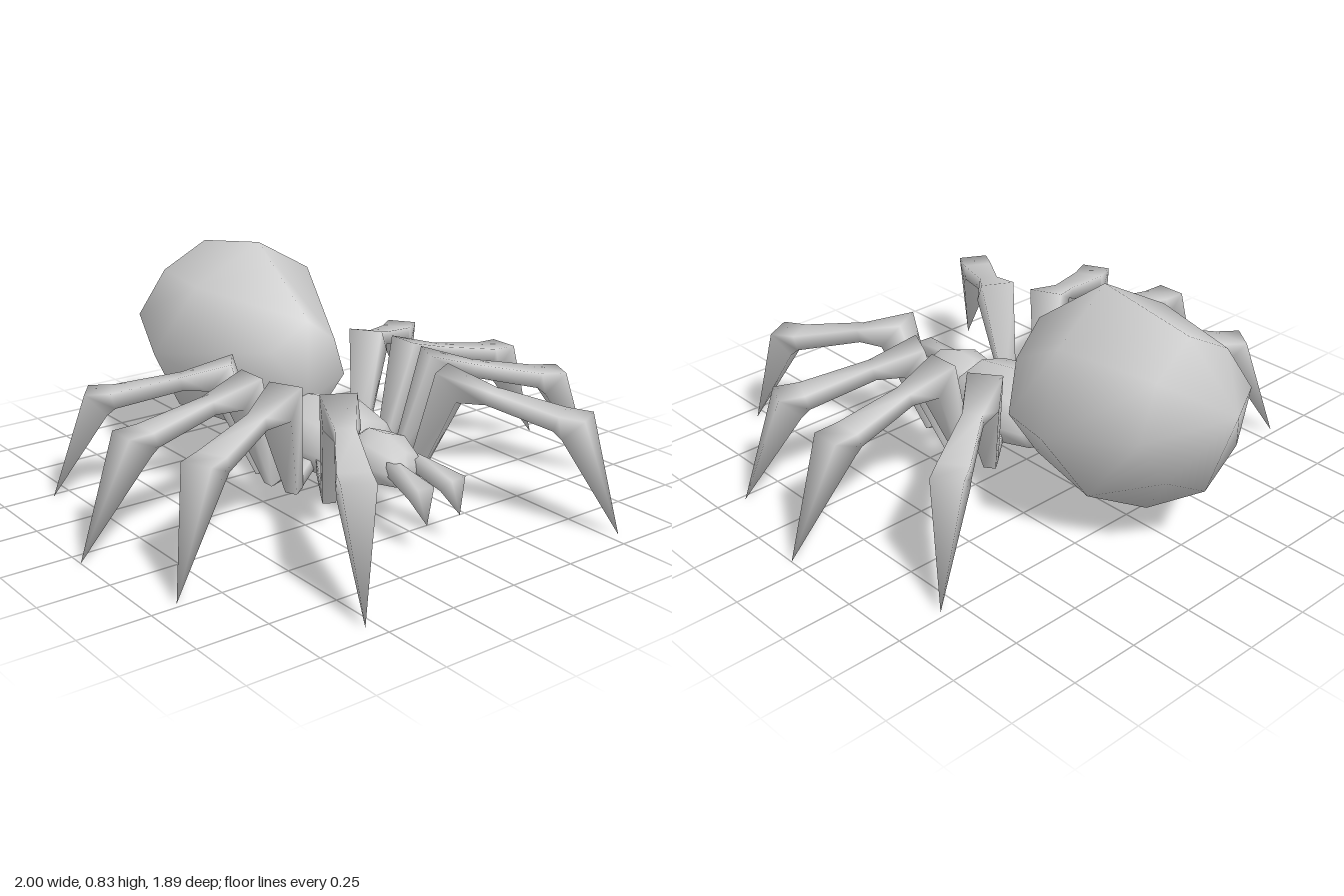
import * as THREE from 'three';
import { mergeVertices } from 'three/addons/utils/BufferGeometryUtils.js';

// Joins equal-length rings of points into a closed, smooth-shaded skin.
function loft(rings) {
  const n = rings[0].length;
  const pos = rings.flat(2);
  const index = [];
  for (let r = 0; r < rings.length - 1; r++) {
    for (let i = 0; i < n; i++) {
      const a = r * n + i, b = r * n + (i + 1) % n;
      index.push(a, b, a + n, b, b + n, a + n);
    }
  }
  const last = (rings.length - 1) * n;
  for (let i = 1; i < n - 1; i++) {
    index.push(0, i + 1, i, last, last + i, last + i + 1);
  }
  // Turn the faces outward when the rings run the other way round
  const p = (i) => new THREE.Vector3(...pos.slice(i * 3, i * 3 + 3));
  let volume = 0;
  for (let i = 0; i < index.length; i += 3) {
    volume += p(index[i]).dot(p(index[i + 1]).cross(p(index[i + 2])));
  }
  if (volume < 0) index.reverse();
  const g = new THREE.BufferGeometry();
  g.setAttribute('position', new THREE.Float32BufferAttribute(pos, 3));
  g.setIndex(index);
  const merged = mergeVertices(g); // closes the pointed ends
  merged.computeVertexNormals();
  return merged;
}

// Body ring of eight points: z, centre height, half width, half height, lean
// along z, and how far the diagonal points are drawn in.
function ovalRing([z, y, rx, ry, lean = 0, diagonal = 1]) {
  return Array.from({ length: 8 }, (_, i) => {
    const k = i % 2 ? diagonal : 1;
    const s = Math.sin(i * Math.PI / 4) * k, c = Math.cos(i * Math.PI / 4) * k;
    return [s * rx, y + c * ry, z + c * lean];
  });
}

// Limb ring: four corners given by an upper and a lower edge across the limb.
function limbRing(origin, dir, [dTop, yTop, dLow, yLow, w]) {
  const corner = (d, y, s) => [
    origin[0] + dir[0] * d - dir[1] * w * s, y, origin[1] + dir[1] * d + dir[0] * w * s,
  ];
  return [corner(dTop, yTop, 1), corner(dTop, yTop, -1), corner(dLow, yLow, -1), corner(dLow, yLow, 1)];
}

export function createModel() {
  const model = new THREE.Group();
  const grey = new THREE.MeshStandardMaterial({ color: 0xcccccc });
  grey.name = 'light grey';

  const add = (name, rings, parent = model) => {
    const mesh = new THREE.Mesh(loft(rings), grey);
    mesh.name = name;
    parent.add(mesh);
  };

  // Body: three faceted ovals
  add('abdomen', [
    [-0.07, 0.3, 0, 0],
    [-0.15, 0.34, 0.225, 0.26, 0.085, 0.88],
    [-0.48, 0.45, 0.39, 0.38, 0.11, 0.9],
    [-0.785, 0.51, 0.27, 0.26, 0.05, 0.9],
    [-0.948, 0.57, 0, 0],
  ].map(ovalRing));
  add('thorax', [
    [-0.2, 0.22, 0.06, 0.05],
    [-0.13, 0.22, 0.155, 0.1],
    [0.05, 0.215, 0.195, 0.138],
    [0.24, 0.21, 0.155, 0.11],
    [0.285, 0.21, 0.06, 0.05],
  ].map(ovalRing));
  add('head', [
    [0.24, 0.22, 0.06, 0.06],
    [0.28, 0.22, 0.095, 0.085],
    [0.37, 0.22, 0.115, 0.092],
    [0.475, 0.21, 0.072, 0.065],
    [0.495, 0.21, 0.03, 0.03],
  ].map(ovalRing));

  // Each leg in plan: foot of the thigh, first knee, second knee, tip (x, z)
  const legs = [
    ['frontLeg', [0.19, 0.3], [0.235, 0.42], [0.475, 0.82], [0.54, 0.94]],
    ['secondLeg', [0.235, 0.165], [0.33, 0.23], [0.765, 0.41], [0.9, 0.48]],
    ['thirdLeg', [0.25, 0.06], [0.36, 0.06], [0.82, 0.06], [1.0, 0.06]],
    ['backLeg', [0.22, -0.05], [0.32, -0.13], [0.7, -0.39], [0.82, -0.48]],
  ];
  for (const side of [1, -1]) {
    const prefix = side > 0 ? 'left ' : 'right ';
    for (const [name, ...plan] of legs) {
      const [foot, knee, ankle, tip] = plan.map(([x, z]) => [x * side, z]);
      const v = new THREE.Vector2(tip[0] - foot[0], tip[1] - foot[1]).normalize();
      const dir = [v.x, v.y];
      const waist = [0, 1].map((i) => knee[i] + (ankle[i] - knee[i]) * 0.32);
      const leg = new THREE.Group();
      leg.name = prefix + name;
      model.add(leg);
      // Short hip joint tucked under the thorax
      add('hip', [
        limbRing(foot, dir, [-0.12, 0.2, -0.12, 0.15, 0.025]),
        limbRing(foot, dir, [-0.01, 0.15, 0.01, 0.09, 0.022]),
      ], leg);
      // Thigh, shin and pointed foot in one skin
      add('limb', [
        limbRing(foot, dir, [-0.025, 0.1, 0.02, 0.09, 0.022]),
        limbRing(knee, dir, [-0.03, 0.505, 0.045, 0.41, 0.062]),
        limbRing(waist, dir, [0, 0.452, -0.01, 0.405, 0.034]),
        limbRing(ankle, dir, [-0.075, 0.403, -0.09, 0.35, 0.054]),
        limbRing(ankle, dir, [0.015, 0.4, -0.06, 0.325, 0.055]),
        limbRing(tip, dir, [0, 0, 0, 0, 0]),
      ], leg);
    }
    // Feelers in front of the head, bent down at the end
    const dir = [side * 0.1, 0.995];
    const root = [side * 0.05, 0.46];
    add(prefix + 'feeler', [
      limbRing(root, dir, [0, 0.25, 0, 0.205, 0.02]),
      limbRing(root, dir, [0.2, 0.225, 0.15, 0.175, 0.032]),
      limbRing(root, dir, [0.21, 0.1, 0.21, 0.1, 0]),
    ]);
  }
  return model;
}
